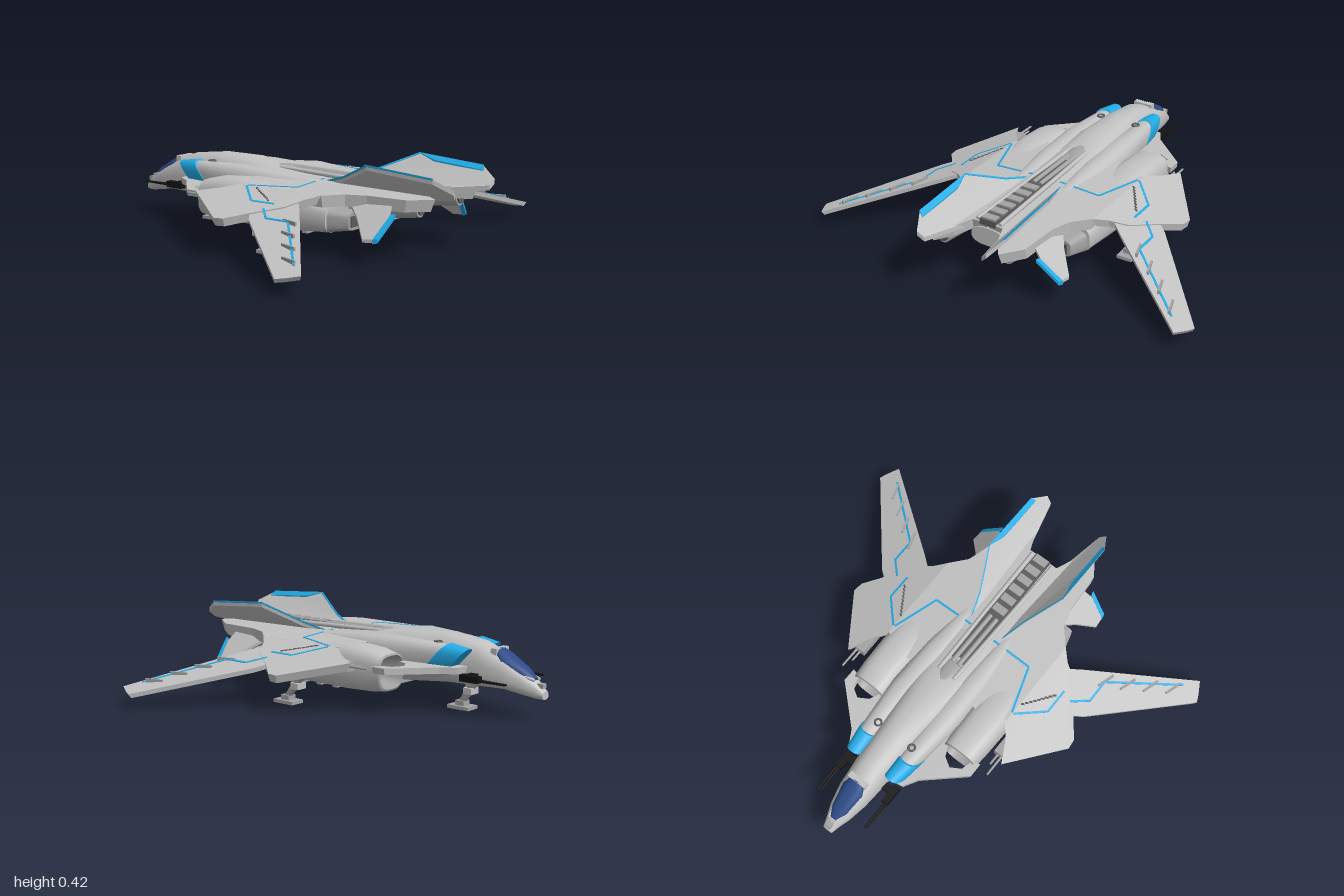
import * as THREE from 'three';
import { toCreasedNormals } from 'three/addons/utils/BufferGeometryUtils.js';

const paint = (name, color) => Object.assign(new THREE.MeshStandardMaterial({ color }), { name });

// Geometry from a flat list of corner points, three per face
function soup(points) {
  const g = new THREE.BufferGeometry();
  g.setAttribute('position', new THREE.Float32BufferAttribute(points.flat(), 3));
  g.computeVertexNormals();
  return g;
}

// Hull through rounded sections [z, centreX, halfWidth, bottom, widest, top]; shear slants them
function loft(sections, { power = 0.75, shear = 0, start = true, end = true, n = 24 } = {}) {
  const curve = v => Math.sign(v) * Math.abs(v) ** power;
  const rings = sections.map(([z, cx, w, yb, ym, yt]) => Array.from({ length: n }, (_, j) => {
    const a = j / n * Math.PI * 2, s = curve(Math.sin(a));
    const y = ym + s * (s > 0 ? yt - ym : ym - yb);
    return [cx + w * curve(Math.cos(a)), y, z - (y - 0.25) * shear];
  }));
  const out = [];
  for (let i = 0; i + 1 < rings.length; i++) for (let j = 0; j < n; j++) {
    const k = (j + 1) % n, [a, b, c, d] = [rings[i][j], rings[i][k], rings[i + 1][k], rings[i + 1][j]];
    out.push(a, b, d, b, c, d);
  }
  const first = rings[0], last = rings[rings.length - 1];
  for (let j = 1; j < n - 1; j++) {
    if (start) out.push(first[0], first[j + 1], first[j]);
    if (end) out.push(last[0], last[j], last[j + 1]);
  }
  return toCreasedNormals(soup(out), 0.6);
}

// Panel from an [x, z] outline, laid on the slope y = f(x, z), thickness t, underside drawn in by taper
function plate(outline, f, t, taper = 1) {
  let pts = outline.map(([x, z]) => new THREE.Vector2(x, -z));
  if (THREE.ShapeUtils.isClockWise(pts)) pts = pts.reverse();
  const c = pts.reduce((s, p) => s.add(p), new THREE.Vector2()).divideScalar(pts.length);
  const top = pts.map(p => [p.x, f(p.x, -p.y), -p.y]);
  const low = pts.map(p => {
    const q = p.clone().lerp(c, 1 - taper);
    return [q.x, f(q.x, -q.y) - t, -q.y];
  });
  const out = [];
  for (const [i, j, k] of THREE.ShapeUtils.triangulateShape(pts, [])) {
    const ccw = pts[j].clone().sub(pts[i]).cross(pts[k].clone().sub(pts[i])) > 0;
    const [b, d] = ccw ? [j, k] : [k, j];
    out.push(top[i], top[b], top[d], low[i], low[d], low[b]);
  }
  pts.forEach((_, i) => {
    const j = (i + 1) % pts.length;
    out.push(low[i], low[j], top[j], low[i], top[j], top[i]);
  });
  return soup(out);
}

const box = (w, h, d, x, y, z, ry = 0) => new THREE.BoxGeometry(w, h, d).rotateY(ry).translate(x, y, z);

// Round bar between two points
function bar(a, b, r0, r1 = r0, n = 12) {
  const p = new THREE.Vector3(...a), q = new THREE.Vector3(...b), d = q.clone().sub(p);
  const turn = new THREE.Quaternion().setFromUnitVectors(new THREE.Vector3(0, 1, 0), d.clone().normalize());
  const mid = p.add(q).multiplyScalar(0.5);
  return new THREE.CylinderGeometry(r1, r0, d.length(), n).applyQuaternion(turn).translate(mid.x, mid.y, mid.z);
}

// Copy across x = 0 with the faces turned the right way round
function mirrored(geometry) {
  const g = geometry.index ? geometry.toNonIndexed() : geometry.clone();
  g.scale(-1, 1, 1);
  for (const a of Object.values(g.attributes)) for (let i = 0; i < a.count; i += 3)
    for (let k = 0; k < a.itemSize; k++) {
      const v = a.getComponent(i + 1, k);
      a.setComponent(i + 1, k, a.getComponent(i + 2, k));
      a.setComponent(i + 2, k, v);
    }
  return g;
}

export function createModel() {
  const model = new THREE.Group();
  model.name = 'starfighter';
  const hull = paint('hull grey', 0xc2c2c2), metal = paint('metal grey', 0xa4a4a4);
  const dark = paint('dark grey', 0x5c5c5c), black = paint('gun black', 0x121212);
  const blue = paint('trim blue', 0x22aeea), glass = paint('canopy blue', 0x2c4a86);
  const add = (name, g, m) => {
    const mesh = new THREE.Mesh(g, m);
    mesh.name = name;
    model.add(mesh);
  };
  const pair = (name, g, m) => { add(name + 'Left', g, m); add(name + 'Right', mirrored(g), m); };

  // Slopes of the deck, wing and fins
  const deckY = x => 0.3 - x * 0.055;
  const wingY = x => 0.28 - (x - 0.36) * 0.32;
  const finY = (x, z) => 0.27 + (x - 0.07) * 0.93 - Math.max(0, z - 0.57) * 0.08;
  const ventralY = x => 0.225 - (x - 0.28);

  // Fuselage and canopy
  add('fuselage', loft([
    [-0.97, 0, 0.025, 0.105, 0.125, 0.14], [-0.93, 0, 0.036, 0.105, 0.14, 0.18],
    [-0.87, 0, 0.058, 0.115, 0.16, 0.22], [-0.78, 0, 0.077, 0.13, 0.175, 0.275],
    [-0.64, 0, 0.088, 0.125, 0.19, 0.33], [-0.46, 0, 0.1, 0.12, 0.2, 0.352],
    [-0.25, 0, 0.125, 0.1, 0.21, 0.35], [-0.05, 0, 0.155, 0.09, 0.2, 0.32],
    [0.2, 0, 0.17, 0.1, 0.2, 0.3], [0.45, 0, 0.15, 0.13, 0.21, 0.29], [0.7, 0, 0.09, 0.18, 0.22, 0.27]]), hull);
  add('canopy', loft([
    [-0.92, 0, 0.02, 0.165, 0.18, 0.197], [-0.87, 0, 0.042, 0.17, 0.195, 0.236],
    [-0.77, 0, 0.06, 0.2, 0.23, 0.293], [-0.735, 0, 0.045, 0.22, 0.26, 0.312]]), glass);
  pair('canopyFrame', bar([0.02, 0.188, -0.925], [0.067, 0.235, -0.75], 0.007), hull);
  add('canopyRearFrame', box(0.1, 0.03, 0.03, 0, 0.295, -0.725), hull);
  add('noseSensor', box(0.03, 0.02, 0.04, 0, 0.165, -0.945), metal);

  // Cheek pods with blue slanted lips
  pair('cheekPod', loft([[-0.575, 0.113, 0.04, 0.16, 0.235, 0.297], [-0.46, 0.118, 0.051, 0.145, 0.24, 0.315],
    [-0.2, 0.125, 0.07, 0.12, 0.23, 0.325], [0.05, 0.125, 0.065, 0.12, 0.22, 0.316],
    [0.35, 0.12, 0.035, 0.2, 0.24, 0.29]], { shear: 0.9 }), hull);
  pair('cheekLip', loft([[-0.59, 0.113, 0.043, 0.19, 0.245, 0.306], [-0.47, 0.118, 0.054, 0.19, 0.245, 0.322]],
    { shear: 0.9 }), blue);
  pair('podVent', new THREE.TorusGeometry(0.016, 0.005, 8, 16).rotateX(Math.PI / 2).translate(0.1, 0.318, -0.455), dark);

  // Engine nacelles with hollow intakes
  pair('nacelle', loft([[-0.32, 0.275, 0.088, 0.1, 0.19, 0.27], [-0.24, 0.275, 0.094, 0.09, 0.19, 0.29],
    [-0.1, 0.275, 0.098, 0.085, 0.185, 0.3], [0.2, 0.27, 0.1, 0.088, 0.17, 0.27], [0.42, 0.265, 0.092, 0.105, 0.17, 0.24]],
    { start: false, power: 0.65 }), hull);
  pair('intake', loft([[-0.2, 0.275, 0.06, 0.13, 0.19, 0.245], [-0.325, 0.275, 0.08, 0.108, 0.19, 0.262],
    [-0.32, 0.275, 0.089, 0.099, 0.19, 0.271]], { end: false, power: 0.65 }), metal);

  // Square engine nozzles with dark cores, and the upper tail boosters
  pair('nozzle', loft([[0.4, 0.265, 0.085, 0.105, 0.155, 0.215], [0.52, 0.25, 0.068, 0.125, 0.165, 0.205]], { power: 0.45 }), metal);
  pair('nozzleCore', box(0.1, 0.05, 0.01, 0.25, 0.165, 0.52), dark);
  add('centreNozzle', loft([[0.35, 0, 0.11, 0.105, 0.15, 0.21], [0.58, 0, 0.085, 0.14, 0.18, 0.22]], { power: 0.45 }), metal);
  add('centreNozzleCore', box(0.13, 0.05, 0.01, 0, 0.18, 0.58), dark);
  pair('booster', bar([0.18, 0.21, 0.46], [0.17, 0.235, 0.8], 0.055, 0.035, 16), metal);
  pair('boosterCore', bar([0.17, 0.235, 0.795], [0.17, 0.236, 0.808], 0.026, 0.026, 16), dark);

  // Underside panels
  add('bellyPanel', box(0.14, 0.03, 0.4, 0, 0.095, 0), metal);
  for (const z of [-0.02, 0.08, 0.18, 0.28]) pair('nacelleRib', box(0.11, 0.02, 0.03, 0.265, 0.091 + Math.max(0, z - 0.2) * 0.08, z), metal);

  // Deck, shoulders and swept wings
  pair('deck', plate([[0, -0.08], [0.24, -0.12], [0.36, -0.06], [0.36, 0.4], [0.29, 0.48], [0.26, 0.58],
    [0.25, 0.78], [0.18, 0.88], [0.12, 0.8], [0.08, 0.7], [0, 0.7]], deckY, 0.055, 0.95), hull);
  pair('shoulder', plate([[0.36, -0.08], [0.41, -0.14], [0.465, -0.245], [0.66, 0.03], [0.655, 0.08],
    [0.59, 0.16], [0.49, 0.3], [0.41, 0.35], [0.36, 0.4]], wingY, 0.04, 0.94), hull);
  pair('wing', plate([[0.42, 0.1], [0.57, 0.16], [0.62, 0.2], [1, 0.64], [0.985, 0.675], [0.95, 0.735],
    [0.49, 0.38], [0.43, 0.33]], x => wingY(x) - 0.006, 0.022, 0.97), hull);
  pair('strake', plate([[0.1, -0.62], [0.16, -0.61], [0.2, -0.54], [0.385, -0.37], [0.385, -0.3], [0.345, -0.31],
    [0.33, -0.37], [0.28, -0.4], [0.23, -0.37], [0.19, -0.28], [0.1, -0.28]], () => 0.225, 0.03, 0.97), hull);

  // Blue trim lines
  const trim = (path, f) => path.slice(1).forEach((b, i) => {
    const a = path[i], d = new THREE.Vector2(b[0] - a[0], b[1] - a[1]).setLength(0.005);
    pair('trimLine', plate([[a[0] - d.y, a[1] + d.x], [b[0] - d.y, b[1] + d.x], [b[0] + d.y, b[1] - d.x],
      [a[0] + d.y, a[1] - d.x]], x => f(x) + 0.002, 0.003), blue);
  });
  trim([[0.07, 0.21], [0.28, 0.21], [0.355, -0.02]], deckY);
  trim([[0.365, -0.02], [0.48, 0.1], [0.48, 0.23]], wingY);
  trim([[0.53, 0.21], [0.6, 0.28], [0.6, 0.4], [0.9, 0.66]], wingY);

  // Wing fairings and shoulder slots
  for (const [x, z] of [[0.6, 0.41], [0.69, 0.47], [0.78, 0.54], [0.87, 0.61]])
    pair('wingFairing', box(0.01, 0.022, 0.09, x, wingY(x) - 0.004, z, 0.3), metal);
  for (let i = 0; i < 9; i++) {
    const x = 0.37 + i * 0.011;
    pair('shoulderSlot', box(0.018, 0.006, 0.008, x, wingY(x), 0.045 + i * 0.017, -0.6), dark);
  }

  // Canted tail fins and small ventral fins
  pair('tailFin', plate([[0.055, 0.13], [0.13, 0.36], [0.222, 0.55], [0.222, 0.89], [0.18, 0.97], [0.15, 0.96],
    [0.085, 0.67], [0.07, 0.4]], finY, 0.022), hull);
  pair('tailFinTrim', plate([[0.202, 0.64], [0.224, 0.54], [0.224, 0.89], [0.202, 0.9]], (x, z) => finY(x, z) + 0.003, 0.008), blue);
  pair('tailFinEdge', plate([[0.052, 0.13], [0.127, 0.36], [0.219, 0.55], [0.225, 0.55], [0.133, 0.36], [0.058, 0.13]],
    (x, z) => finY(x, z) + 0.003, 0.008), blue);
  pair('ventralFin', plate([[0.24, 0.46], [0.31, 0.56], [0.385, 0.64], [0.38, 0.7], [0.3, 0.72], [0.24, 0.7]], ventralY, 0.015), hull);
  pair('ventralTrim', plate([[0.384, 0.69], [0.378, 0.715], [0.28, 0.742], [0.285, 0.72]], x => ventralY(x) + 0.002, 0.019), blue);

  // Dorsal channel with rails and ribs
  add('dorsalChannel', box(0.085, 0.03, 0.76, 0, 0.298, 0.32), dark);
  add('dorsalChannelNose', loft([[-0.12, 0, 0.015, 0.29, 0.31, 0.328], [-0.06, 0, 0.045, 0.28, 0.3, 0.33],
    [0.02, 0, 0.05, 0.27, 0.29, 0.315]]), metal);
  pair('dorsalRail', bar([0.045, 0.318, -0.07], [0.06, 0.3, 0.69], 0.011, 0.011, 8), hull);
  pair('dorsalPipe', bar([0.018, 0.315, 0], [0.018, 0.31, 0.3], 0.012), metal);
  for (let i = 0; i < 6; i++) add('dorsalRib', box(0.07, 0.022, 0.04, 0, 0.31, 0.35 + i * 0.065), metal);

  // Nose guns and shoulder guns
  pair('noseGunBody', box(0.035, 0.03, 0.1, 0.14, 0.18, -0.665), black);
  pair('noseGunMount', box(0.06, 0.02, 0.04, 0.11, 0.185, -0.65), black);
  for (const dx of [-0.006, 0.006]) pair('noseGunBarrel', bar([0.146 + dx, 0.178, -0.7], [0.146 + dx, 0.178, -0.86], 0.006, 0.004, 8), black);
  for (const x of [0.42, 0.44]) pair('shoulderGun', bar([x, 0.225, -0.1], [x, 0.225, x > 0.43 ? -0.32 : -0.27], 0.008, 0.005, 8), metal);
  pair('shoulderGunBody', box(0.055, 0.045, 0.12, 0.425, 0.22, -0.15), metal);

  // Landing gear
  const leg = (place, name, x, z, lean, top) => {
    place(name + 'Foot', box(0.075, 0.016, 0.12, x, 0.008, z), metal);
    place(name + 'Ankle', box(0.045, 0.025, 0.05, x, 0.026, z), metal);
    place(name + 'Strut', bar([x, 0.03, z], [x, top, z + lean], 0.016, 0.022), metal);
    place(name + 'Brace', bar([x, 0.06, z + lean * 0.2], [x, top, z + lean * 0.45], 0.009), metal);
    place(name + 'Collar', box(0.06, 0.03, 0.045, x, 0.09, z + lean * 0.6), hull);
  };
  leg(add, 'noseGear', 0, -0.52, -0.08, 0.15);
  leg(pair, 'mainGear', 0.43, 0.175, -0.11, 0.17);
  pair('gearBay', box(0.13, 0.06, 0.24, 0.435, 0.19, 0.08), metal);
  return model;
}
